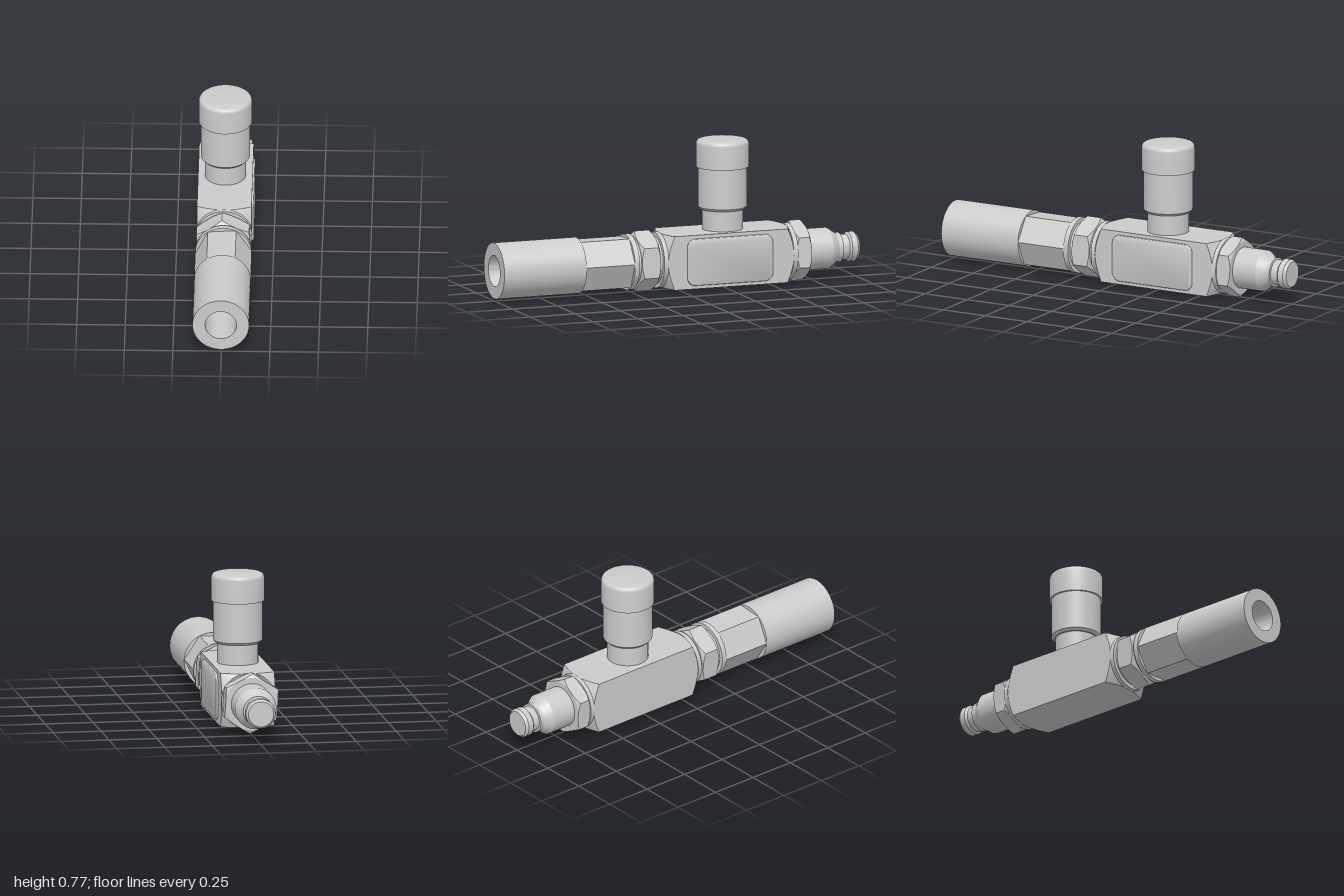
import * as THREE from 'three';
import { toCreasedNormals } from 'three/addons/utils/BufferGeometryUtils.js';

const AX = -0.003, AY = 0.16, KNOB_Z = -0.263;
const material = new THREE.MeshStandardMaterial({ color: 0xcccccc });

function mesh(name, geometry) {
  const m = new THREE.Mesh(geometry, material);
  m.name = name;
  return m;
}

// Turned part: profile of [radius, height] points, sharp at its corners
function turned(profile) {
  const pts = profile.map(([r, h]) => new THREE.Vector2(r, h));
  return toCreasedNormals(new THREE.LatheGeometry(pts, 64), 0.5);
}

// Turned part lying along z
function turnedZ(name, profile) {
  return mesh(name, turned(profile).rotateX(Math.PI / 2).translate(AX, AY, 0));
}

function disc(name, r, z0, z1) {
  return turnedZ(name, [[0, z0], [r, z0], [r, z1], [0, z1]]);
}

// Regular prism along z whose corners are turned off by a cone at both ends
function chamferedPrism(name, sides, apothem, z0, z1, cornerAngle, endRadius, slope) {
  const per = 12, n = sides * per, step = (2 * Math.PI) / sides;
  const pos = [], idx = [];
  for (let row = 0; row < 6; row++) {
    for (let j = 0; j <= n; j++) {
      const t = (j / per) * step;
      const R = apothem / Math.cos((t % step) - step / 2);
      const cut = Math.max(0, R - endRadius) * slope;
      const r = [0, Math.min(R, endRadius), R, R, Math.min(R, endRadius), 0][row];
      const z = [z0, z0, z0 + cut, z1 - cut, z1, z1][row];
      pos.push(AX + r * Math.cos(t + cornerAngle), AY + r * Math.sin(t + cornerAngle), z);
      if (row < 5 && j < n) {
        const a = row * (n + 1) + j, d = a + n + 1;
        idx.push(a, a + 1, d + 1, a, d + 1, d);
      }
    }
  }
  const g = new THREE.BufferGeometry();
  g.setAttribute('position', new THREE.Float32BufferAttribute(pos, 3));
  g.setIndex(idx);
  return mesh(name, toCreasedNormals(g, 0.3));
}

function roundedRect(w, h, r) {
  const s = new THREE.Shape(), x = w / 2, y = h / 2;
  s.absarc(x - r, y - r, r, 0, Math.PI / 2);
  s.absarc(-x + r, y - r, r, Math.PI / 2, Math.PI);
  s.absarc(-x + r, -y + r, r, Math.PI, Math.PI * 1.5);
  s.absarc(x - r, -y + r, r, Math.PI * 1.5, Math.PI * 2);
  s.closePath();
  return s;
}

export function createModel() {
  const model = new THREE.Group();
  model.name = 'inlineValve';
  const tilt = THREE.MathUtils.degToRad(3.5);

  // Square valve body
  model.add(chamferedPrism('body', 4, 0.1405, -0.605, 0.09, Math.PI / 4, 0.1405, 0.6));

  // Raised plate on the left face
  const bevel = 0.007;
  const plate = new THREE.ExtrudeGeometry(roundedRect(0.472 - 2 * bevel, 0.245 - 2 * bevel, 0.036), {
    depth: 0.01, bevelEnabled: true, bevelSize: bevel, bevelThickness: bevel, bevelSegments: 4, curveSegments: 10,
  });
  plate.rotateY(Math.PI / 2).translate(0.148 - 0.01 - bevel, 0.159, -0.25);
  model.add(mesh('sidePlate', toCreasedNormals(plate, 0.6)));

  // Front socket: sleeve with bore, hexagonal grip, collars and nut
  model.add(turnedZ('sleeve', [[0, 0.545], [0.146, 0.545], [0.146, 1], [0.081, 1], [0.081, 0.6], [0, 0.6]]));
  model.add(chamferedPrism('hexGrip', 6, 0.1265, 0.27, 0.55, tilt, 0.15, 0));
  model.add(disc('frontCollar', 0.145, 0.25, 0.277));
  model.add(disc('frontNeck', 0.124, 0.08, 0.26));
  model.add(chamferedPrism('frontNut', 6, 0.136, 0.13, 0.232, Math.PI / 6 + tilt, 0.137, 0.6));
  model.add(disc('bodyCollar', 0.145, 0.09, 0.113));

  // Rear plug: collar, nut and stepped nipple
  model.add(disc('rearCollar', 0.145, -0.627, -0.604));
  model.add(chamferedPrism('rearNut', 6, 0.136, -0.706, -0.626, Math.PI / 6 + tilt, 0.137, 0.6));
  model.add(turnedZ('nipple', [
    [0, -1], [0.066, -1], [0.077, -0.986], [0.077, -0.955], [0.066, -0.945], [0.066, -0.908],
    [0.077, -0.906], [0.077, -0.884], [0.107, -0.84], [0.107, -0.7], [0, -0.7],
  ]));

  // Upright control knob
  const knob = new THREE.Group();
  knob.name = 'knob';
  knob.position.set(AX, 0, KNOB_Z);
  knob.add(mesh('knobStem', turned([[0, 0.28], [0.106, 0.28], [0.106, 0.42], [0, 0.42]])));
  knob.add(mesh('knobBarrel', turned([[0, 0.406], [0.114, 0.406], [0.127, 0.419], [0.127, 0.64], [0, 0.64]])));
  const cap = [[0, 0.626], [0.137, 0.626]];
  for (let i = 0; i <= 6; i++) {
    const a = (i / 6) * Math.PI / 2;
    cap.push([0.115 + 0.022 * Math.cos(a), 0.747 + 0.022 * Math.sin(a)]);
  }
  cap.push([0, 0.769]);
  knob.add(mesh('knobCap', turned(cap)));
  model.add(knob);

  return model;
}
